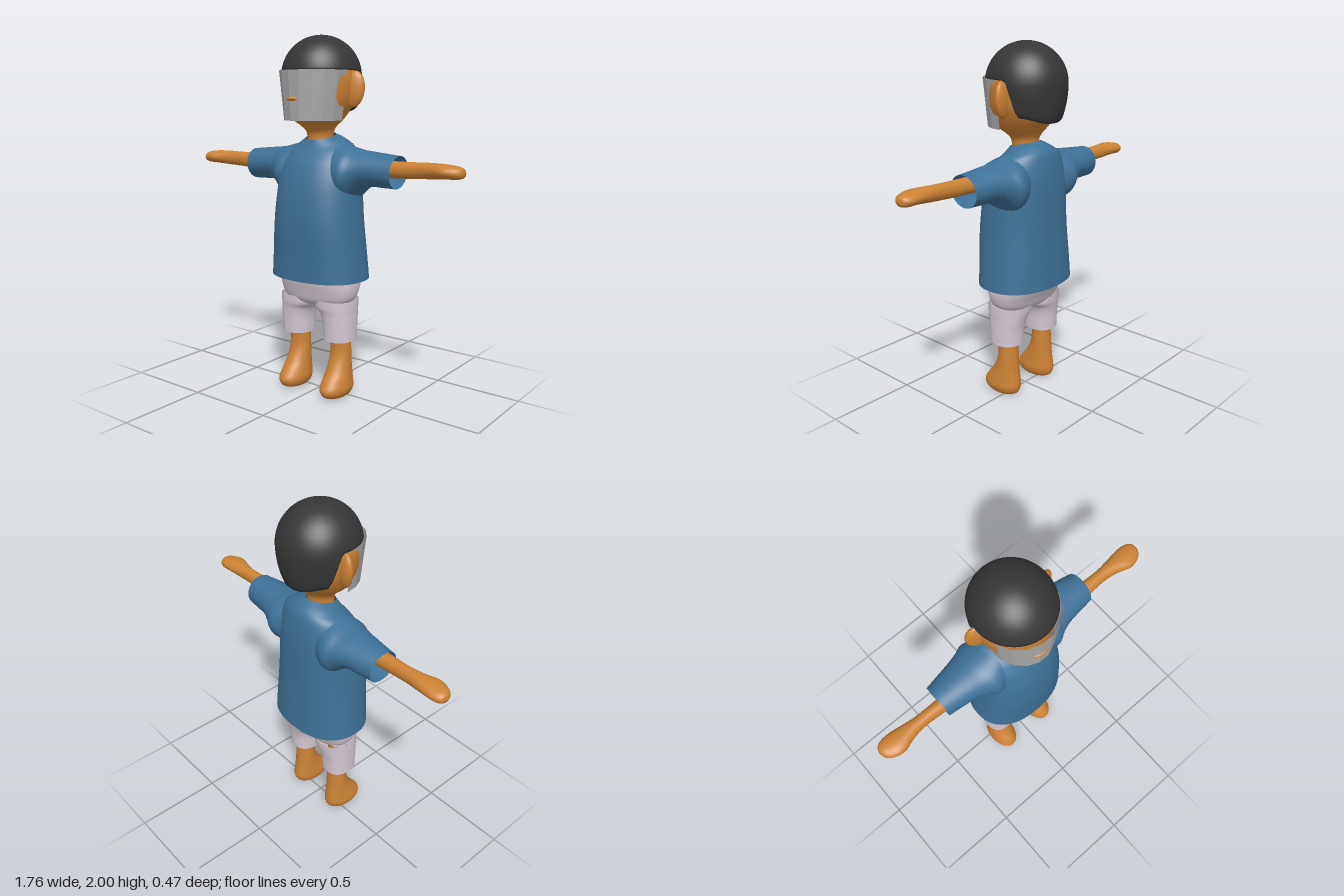
import * as THREE from 'three';

const mat = (name, color, double) => {
  const m = new THREE.MeshStandardMaterial({ color });
  m.name = name;
  if (double) m.side = THREE.DoubleSide;
  return m;
};

// Smooth loft through elliptical sections [pos, c1, c2, r1, r2, exponent].
// Axis 'y': c1/r1 run along x and c2/r2 along z. Axis 'x': c1/r1 along z, c2/r2 along y.
function loft(sections, { axis = 'y', seg = 40, sub = 5, warp } = {}) {
  const centre = new THREE.CatmullRomCurve3(sections.map(s => new THREE.Vector3(s[0], s[1], s[2])), false, 'catmullrom');
  const radius = new THREE.CatmullRomCurve3(sections.map(s => new THREE.Vector3(s[3], s[4], s[5] ?? 2)), false, 'catmullrom');
  const rings = (sections.length - 1) * sub;
  const round = (v, e) => Math.sign(v) * Math.abs(v) ** (2 / e);
  return skin(rings, seg, (t, a) => {
    const c = centre.getPoint(t), r = radius.getPoint(t);
    const u = c.y + r.x * round(Math.sin(a), r.z);
    const w = c.z + r.y * round(Math.cos(a), r.z);
    const p = axis === 'y' ? new THREE.Vector3(u, c.x, w) : new THREE.Vector3(c.x, w, u);
    if (warp) warp(p);
    return p;
  });
}

// Closed tube of rings; point(t, angle) runs upward along t.
function skin(rings, seg, point) {
  const pos = [], idx = [];
  for (let i = 0; i <= rings; i++) {
    for (let j = 0; j < seg; j++) pos.push(...point(i / rings, j / seg * Math.PI * 2).toArray());
  }
  for (let i = 0; i < rings; i++) {
    for (let j = 0; j < seg; j++) {
      const k = (j + 1) % seg, a = i * seg + j, b = i * seg + k, c = a + seg, d = b + seg;
      idx.push(a, b, d, a, d, c);
    }
  }
  const g = new THREE.BufferGeometry();
  g.setAttribute('position', new THREE.Float32BufferAttribute(pos, 3));
  g.setIndex(idx);
  g.computeVertexNormals();
  return g;
}

// Mirrored copy across x = 0 with the corner order restored.
function mirrored(geo) {
  const g = geo.clone().scale(-1, 1, 1);
  const ix = g.index.array;
  for (let i = 0; i < ix.length; i += 3) [ix[i], ix[i + 1]] = [ix[i + 1], ix[i]];
  g.computeVertexNormals();
  return g;
}

function ellipsoid(rx, ry, rz) {
  return new THREE.SphereGeometry(1, 28, 20).scale(rx, ry, rz);
}

export function createModel() {
  const model = new THREE.Group();
  model.name = 'figure';
  const skinMat = mat('skin', 0xcc8234);
  const shirtMat = mat('shirt blue', 0x3e7197, true);
  const shortsMat = mat('shorts pale mauve', 0xd6cad4, true);
  const hairMat = mat('hair charcoal', 0x363636, true);
  const visorMat = mat('visor grey', 0xa9a9a9, true);

  const add = (name, geo, material) => {
    const m = new THREE.Mesh(geo, material);
    m.name = name;
    model.add(m);
  };
  const pair = (name, geo, material) => {
    add('left' + name, geo, material);
    add('right' + name, mirrored(geo), material);
  };
  const smooth = THREE.MathUtils.smoothstep;

  // Neck and head
  add('head', loft([
    [1.38, 0, 0, 0.075, 0.075], [1.47, 0, 0, 0.072, 0.076], [1.51, 0, 0.01, 0.093, 0.1],
    [1.55, 0, 0.02, 0.14, 0.14], [1.62, 0, 0.01, 0.18, 0.185], [1.7, 0, 0, 0.203, 0.2],
    [1.8, 0, 0, 0.203, 0.2], [1.89, 0, 0, 0.16, 0.17], [1.95, 0, 0, 0.07, 0.07], [1.96, 0, 0, 0.001, 0.001],
  ]), skinMat);
  add('nose', ellipsoid(0.055, 0.017, 0.04).translate(-0.015, 1.66, 0.196), skinMat);
  pair('Ear', ellipsoid(0.062, 0.098, 0.03).rotateZ(-0.12).rotateY(0.25).translate(0.204, 1.71, -0.025), skinMat);

  // Hair cap: straight fringe, dropping behind the ears to the nape
  add('hair', skin(30, 64, (t, angle) => {
    const a = angle > Math.PI ? 2 * Math.PI - angle : angle;
    const deg = THREE.MathUtils.radToDeg(a);
    const hem = 1.81 - 0.19 * smooth(deg, 98, 119) - 0.035 * smooth(deg, 120, 170);
    // The first ring folds inward to close the hem
    const fold = t === 0 ? 0.88 : 1;
    const s = Math.max(0, (t * 30 - 1) / 29);
    const dy0 = hem - 1.78;
    const phi0 = Math.asin(dy0 / (dy0 > 0 ? 0.22 : 0.36));
    const phi = phi0 + (Math.PI / 2 - phi0) * s;
    const r = Math.max(Math.cos(phi), 0.001) * fold;
    const y = 1.78 + Math.sin(phi) * (phi > 0 ? 0.22 : 0.36);
    return new THREE.Vector3(0.217 * r * Math.sin(angle), y, -0.01 + 0.225 * r * Math.cos(angle));
  }), hairMat);

  // Faceted face visor
  const visor = new THREE.CylinderGeometry(0.205, 0.168, 0.265, 9, 1, true, -Math.PI / 2, Math.PI);
  const vp = visor.attributes.position;
  for (let i = 0; i < vp.count; i++) if (vp.getY(i) < 0) vp.setZ(i, vp.getZ(i) * 1.16);
  visor.translate(0, 1.6775, 0.03);
  const facets = visor.toNonIndexed();
  facets.computeVertexNormals();
  add('visor', facets, visorMat);

  // Shirt body, with the neckline lower at the front
  add('shirtBody', loft([
    [0.675, 0, 0, 0.287, 0.215, 2.3], [0.8, 0, 0.004, 0.275, 0.214, 2.3], [1.0, 0, 0.012, 0.255, 0.212, 2.3],
    [1.18, 0, 0.003, 0.24, 0.2, 2.3], [1.3, 0, -0.012, 0.23, 0.178, 2.2], [1.38, 0, -0.022, 0.2, 0.148, 2.1],
    [1.42, 0, -0.02, 0.145, 0.12], [1.457, 0, -0.005, 0.083, 0.085],
  ], { seg: 56, warp: p => { p.y -= 0.22 * p.z * smooth(p.y, 1.3, 1.45); } }), shirtMat);

  // Sleeves, flaring into the shoulders
  pair('Sleeve', loft([
    [0.09, -0.02, 1.27, 0.12, 0.162], [0.2, -0.025, 1.26, 0.163, 0.145], [0.26, -0.028, 1.275, 0.14, 0.116],
    [0.32, -0.028, 1.29, 0.12, 0.095], [0.42, -0.026, 1.286, 0.103, 0.09], [0.498, -0.024, 1.282, 0.092, 0.087],
  ], { axis: 'x', warp: p => { p.x += (p.y - 1.37) * 0.08 * smooth(p.x, 0.4, 0.5); } }), shirtMat);

  // Arms with mitten hands
  pair('Arm', loft([
    [0.2, 0, 1.3, 0.045, 0.045], [0.35, 0.005, 1.3, 0.042, 0.045], [0.5, 0.006, 1.3, 0.038, 0.044],
    [0.62, 0.005, 1.303, 0.035, 0.042], [0.7, 0.007, 1.306, 0.045, 0.041], [0.78, 0.014, 1.308, 0.063, 0.037],
    [0.84, 0.008, 1.305, 0.055, 0.033], [0.872, 0.004, 1.303, 0.032, 0.024], [0.882, 0.003, 1.302, 0.001, 0.001],
  ], { axis: 'x', seg: 28 }), skinMat);

  // Shorts: hips and two open legs
  add('shortsHips', loft([
    [0.508, 0, 0.01, 0.001, 0.001], [0.515, 0, 0.01, 0.1, 0.07, 2.2], [0.545, 0, 0.008, 0.205, 0.112, 2.4],
    [0.6, 0, 0.004, 0.237, 0.135, 2.5], [0.68, 0, -0.004, 0.243, 0.163, 2.5], [0.78, 0, -0.004, 0.235, 0.17, 2.4],
  ]), shortsMat);
  pair('ShortsLeg', loft([
    [0.33, 0.148, 0.01, 0.087, 0.095, 2.3], [0.42, 0.146, 0.01, 0.09, 0.1, 2.3], [0.48, 0.138, 0.008, 0.098, 0.108, 2.3],
    [0.515, 0.122, 0.008, 0.115, 0.116, 2.3], [0.56, 0.118, 0.006, 0.119, 0.12, 2.3],
  ], { sub: 6 }), shortsMat);

  // Bare legs and feet
  pair('Leg', loft([
    [0.004, 0.147, 0.04, 0.001, 0.001], [0.01, 0.147, 0.04, 0.055, 0.092], [0.05, 0.148, 0.043, 0.078, 0.121],
    [0.1, 0.147, 0.032, 0.074, 0.107], [0.16, 0.146, 0.013, 0.067, 0.079], [0.24, 0.145, 0, 0.062, 0.058],
    [0.34, 0.145, 0, 0.06, 0.052], [0.52, 0.145, 0, 0.06, 0.052],
  ], { seg: 32 }), skinMat);

  return model;
}
